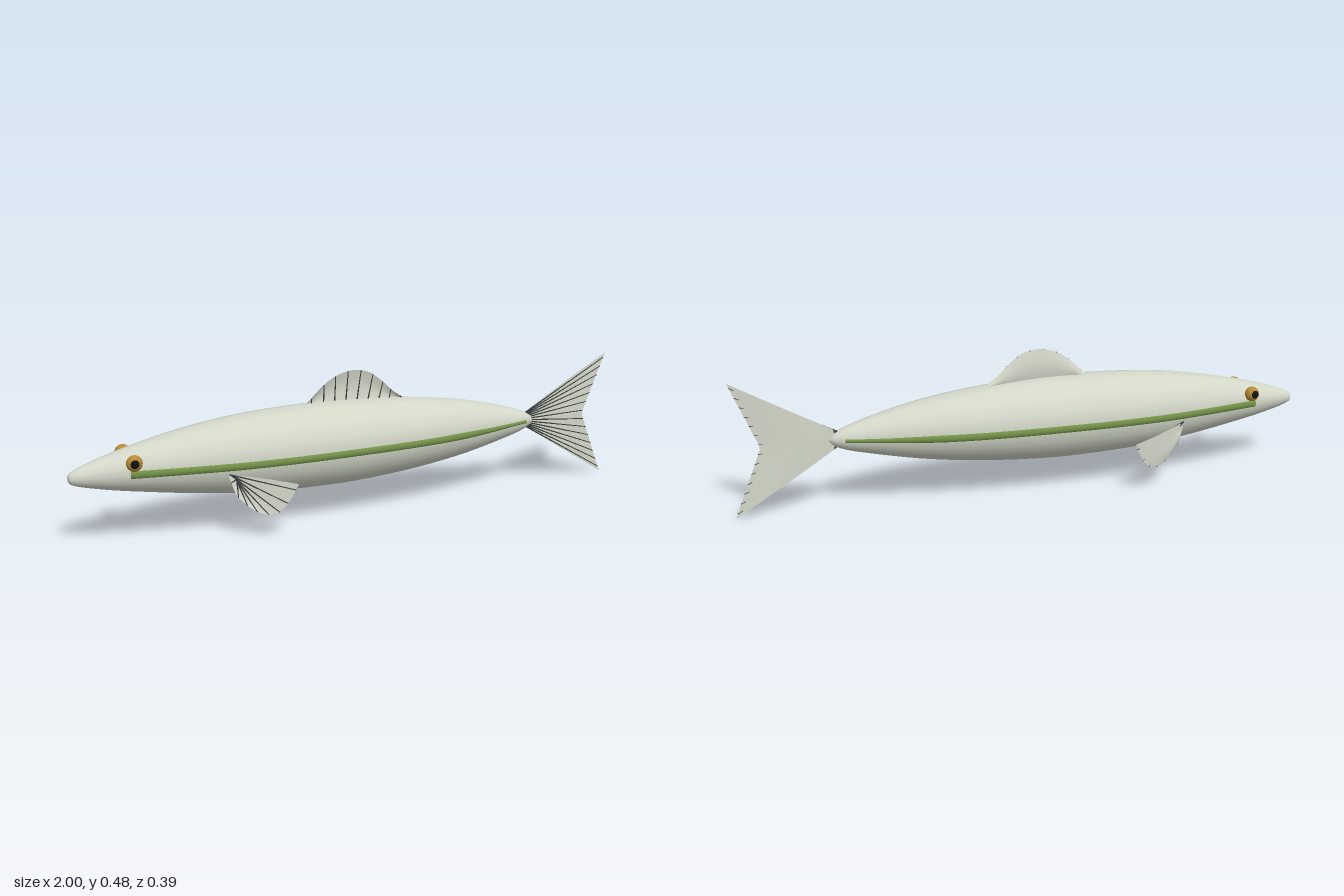
import * as THREE from 'three';

const mat = (color, extra = {}) => new THREE.MeshStandardMaterial({ color, ...extra });
const skin = mat(0xd3d7c8);
const finSkin = mat(0xd3d7c8, { side: THREE.DoubleSide });
const rayDark = mat(0x3c4040);
const green = mat(0x739148);
const gold = mat(0xb98a35);
const black = mat(0x111111);

const V2 = (p) => new THREE.Vector2(p[0], p[1]);
const curve2 = (pts) => new THREE.SplineCurve(pts.map(V2));

// Height of the body axis: it droops a little at the nose and tail
const axisY = (x) => 0.245 - 0.015 * Math.max(0, (-0.5 - x) / 0.5) ** 2 - 0.008 * Math.max(0, (x - 0.3) / 0.39) ** 2;

function addMesh(parent, name, geometry, material) {
  const mesh = new THREE.Mesh(geometry, material);
  mesh.name = name;
  parent.add(mesh);
  return mesh;
}

// Spindle body, 16 sides, lying along x
function makeBody() {
  const profile = curve2([[0, -1], [0.02, -0.99], [0.044, -0.92], [0.073, -0.8], [0.11, -0.6], [0.133, -0.4],
    [0.142, -0.17], [0.139, 0], [0.124, 0.2], [0.096, 0.4], [0.049, 0.6], [0.022, 0.67], [0, 0.69]]);
  const pts = profile.getPoints(48);
  pts.forEach((p) => { p.x = Math.max(p.x, 0); });
  const geo = new THREE.LatheGeometry(pts, 16);
  geo.rotateZ(-Math.PI / 2);
  const pos = geo.attributes.position;
  for (let i = 0; i < pos.count; i++) pos.setY(i, pos.getY(i) + axisY(pos.getX(i)));
  return geo;
}

// Fin: a bulged web between a root line and an outer edge, with straight dark rays
function makeFin(name, root, edge, rays, bulge, smooth = true) {
  const group = new THREE.Group();
  group.name = name;
  const line = (pts) => {
    if (smooth && pts.length > 2) return curve2(pts);
    const path = new THREE.CurvePath();
    for (let i = 1; i < pts.length; i++) path.add(new THREE.LineCurve(V2(pts[i - 1]), V2(pts[i])));
    return path;
  };
  const rootLine = line(root), edgeLine = line(edge);
  const nu = 24, nv = 6;
  const geo = new THREE.PlaneGeometry(1, 1, nu, nv);
  const pos = geo.attributes.position;
  for (let j = 0, k = 0; j <= nv; j++) {
    for (let i = 0; i <= nu; i++, k++) {
      const v = j / nv;
      const p = rootLine.getPoint(i / nu).lerp(edgeLine.getPoint(i / nu), v);
      pos.setXYZ(k, p.x, p.y, -bulge * Math.sin(Math.PI * v));
    }
  }
  geo.computeVertexNormals();
  addMesh(group, name + 'Web', geo, finSkin);
  for (let i = 0; i < rays; i++) {
    const t = (i + 0.5) / rays;
    const a = rootLine.getPoint(t), b = edgeLine.getPoint(t);
    const d = b.clone().sub(a);
    const ray = addMesh(group, name + 'Ray', new THREE.CylinderGeometry(0.0016, 0.0026, d.length(), 5), rayDark);
    ray.position.set((a.x + b.x) / 2, (a.y + b.y) / 2, 0.0005);
    ray.rotation.z = Math.atan2(d.y, d.x) - Math.PI / 2;
  }
  return group;
}

// Side stripe: a flattened tube hugging the flank
function makeStripe(side) {
  const path = new THREE.CatmullRomCurve3([[-0.82, 0.073], [-0.65, 0.104], [-0.47, 0.131], [-0.28, 0.143],
    [-0.1, 0.143], [0.1, 0.137], [0.27, 0.122], [0.45, 0.088], [0.64, 0.036]]
    .map(([x, z]) => new THREE.Vector3(x, 0, z * side)));
  const geo = new THREE.TubeGeometry(path, 40, 0.006, 8);
  const pos = geo.attributes.position;
  for (let i = 0; i < pos.count; i++) {
    const fade = 1 - 0.5 * THREE.MathUtils.smoothstep(pos.getX(i), 0.3, 0.64);
    pos.setY(i, 0.24 + pos.getY(i) * 2 * fade);
  }
  geo.computeVertexNormals();
  return geo;
}

export function createModel() {
  const fish = new THREE.Group();
  fish.name = 'fish';
  addMesh(fish, 'body', makeBody(), skin);

  // Dorsal and tail fins on the centre plane
  fish.add(makeFin('dorsalFin', [[-0.2, 0.37], [0.165, 0.36]],
    [[-0.2, 0.385], [-0.145, 0.437], [-0.09, 0.472], [-0.03, 0.485], [0.03, 0.473], [0.08, 0.437], [0.12, 0.4], [0.165, 0.37]],
    9, 0.009));
  fish.add(makeFin('tailFin', [[0.645, 0.258], [0.645, 0.222]],
    [[1, 0.456], [0.908, 0.235], [1, 0.002]], 14, 0.006, false));

  for (const side of [1, -1]) {
    const label = side > 0 ? 'left' : 'right';

    // Pectoral fin, swung out from the flank
    const fin = makeFin(label + 'PectoralFin', [[0, 0.005], [0.03, -0.01]],
      [[0.222, -0.035], [0.195, -0.085], [0.165, -0.122], [0.127, -0.135], [0.085, -0.122], [0.05, -0.095], [0.02, -0.06], [0, 0]],
      8, 0.007);
    fin.position.set(-0.52, 0.213, 0.124 * side);
    fin.rotation.y = -0.33 * side;
    fish.add(fin);

    addMesh(fish, label + 'Stripe', makeStripe(side), green);

    // Eye: gold ball with a dark pupil
    const eye = new THREE.Group();
    eye.name = label + 'Eye';
    eye.position.set(-0.807, 0.276, 0.071 * side);
    const ball = addMesh(eye, 'eyeball', new THREE.SphereGeometry(0.026, 20, 14), gold);
    ball.scale.z = 0.85;
    const pupil = addMesh(eye, 'pupil', new THREE.SphereGeometry(0.015, 16, 12), black);
    pupil.position.set(-0.002, 0.001, 0.0145 * side);
    pupil.scale.z = 0.7;
    fish.add(eye);
  }
  return fish;
}
